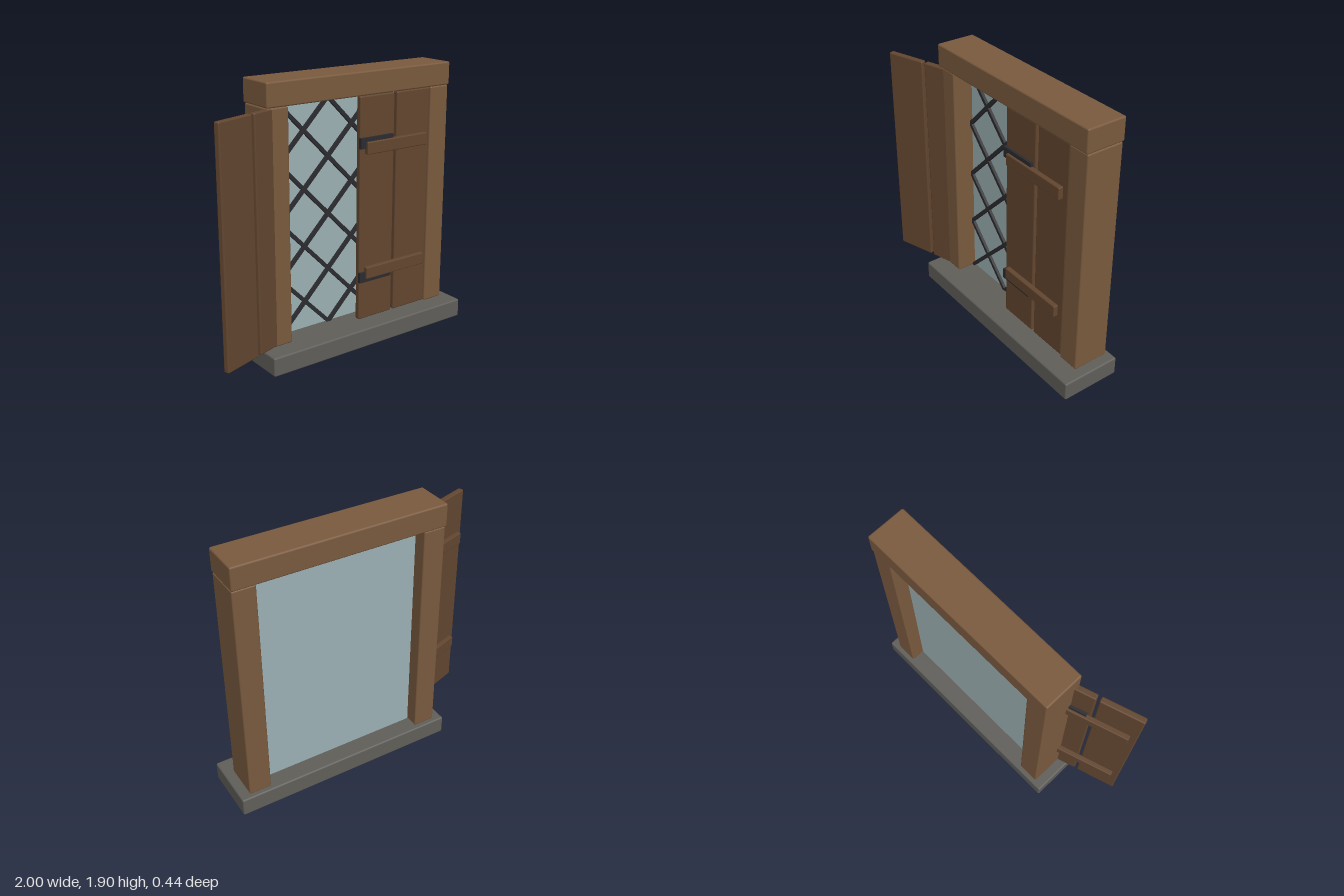
import * as THREE from 'three';
import { RoundedBoxGeometry } from 'three/addons/geometries/RoundedBoxGeometry.js';

const mat = (color) => new THREE.MeshStandardMaterial({ color });
const frameWood = mat(0x7a5a3e);
const shutterWood = mat(0x62462f);
const stone = mat(0x605e59);
const iron = mat(0x2c2c30);
const glassBlue = mat(0x9bb0b3);

// Box given by its extents on each axis; bevel > 0 rounds the edges
function block(name, material, [x0, x1], [y0, y1], [z0, z1], bevel = 0.01) {
  const size = [x1 - x0, y1 - y0, z1 - z0];
  const geometry = bevel
    ? new RoundedBoxGeometry(...size, 2, bevel)
    : new THREE.BoxGeometry(...size);
  const mesh = new THREE.Mesh(geometry, material);
  mesh.name = name;
  mesh.position.set((x0 + x1) / 2, (y0 + y1) / 2, (z0 + z1) / 2);
  return mesh;
}

// Diagonal lead bars over a grid of diamond panes
function createLattice(left, right, bottom, top, z) {
  const lattice = new THREE.Group();
  lattice.name = 'leadLattice';
  const nx = 3, ny = 4;
  const dx = (right - left) / nx, dy = (top - bottom) / ny;
  const starts = [];
  for (let j = 0; j < ny; j++) starts.push([0, j]);
  for (let i = 1; i < nx; i++) starts.push([i, 0]);
  for (const [i, j] of starts) {
    const n = Math.min(nx - i, ny - j);
    for (const rising of [true, false]) {
      const bar = new THREE.Mesh(new THREE.BoxGeometry(n * Math.hypot(dx, dy), 0.026, 0.022), iron);
      const up = (j + n / 2) * dy;
      bar.name = 'leadBar';
      bar.position.set(left + (i + n / 2) * dx, rising ? bottom + up : top - up, z);
      bar.rotation.z = Math.atan2(dy, dx) * (rising ? 1 : -1);
      lattice.add(bar);
    }
  }
  return lattice;
}

// Two planks joined by battens, with iron hinge plates at the local x = 0 edge
function createShutter(name) {
  const shutter = new THREE.Group();
  shutter.name = name;
  for (const span of [[0, 0.295], [0.315, 0.607]]) {
    shutter.add(block('plank', shutterWood, span, [0.14, 1.733], [-0.006, 0.036]));
  }
  for (const [battenY, plateY] of [[1.384, 1.418], [0.492, 0.46]]) {
    shutter.add(block('batten', shutterWood, [0.04, 0.562], [battenY - 0.043, battenY + 0.043], [0.034, 0.071], 0.007));
    shutter.add(block('hingePlate', iron, [-0.005, 0.27], [plateY - 0.037, plateY + 0.037], [0.03, 0.055], 0));
  }
  return shutter;
}

export function createModel() {
  const model = new THREE.Group();
  model.name = 'shutteredWindow';

  // Sill, jambs and lintel
  model.add(block('sill', stone, [-0.645, 0.995], [0, 0.135], [-0.222, 0.21], 0.012));
  model.add(block('rightJamb', frameWood, [-0.575, -0.415], [0.135, 1.738], [-0.19, 0.075], 0.012));
  model.add(block('leftJamb', frameWood, [0.765, 0.925], [0.135, 1.738], [-0.19, 0.075], 0.012));
  model.add(block('lintel', frameWood, [-0.58, 0.927], [1.738, 1.9], [-0.198, 0.085], 0.012));

  // Leaded glass
  model.add(block('glass', glassBlue, [-0.415, 0.765], [0.135, 1.738], [-0.09, -0.07], 0));
  model.add(createLattice(-0.415, 0.765, 0.137, 1.737, -0.061));

  // Closed shutter on one side, the other swung open
  const closed = createShutter('closedShutter');
  closed.position.set(0.155, 0, 0.029);
  const open = createShutter('openShutter');
  open.position.set(-0.415, 0, 0.029);
  open.rotation.y = THREE.MathUtils.degToRad(-162);
  model.add(closed, open);

  return model;
}
